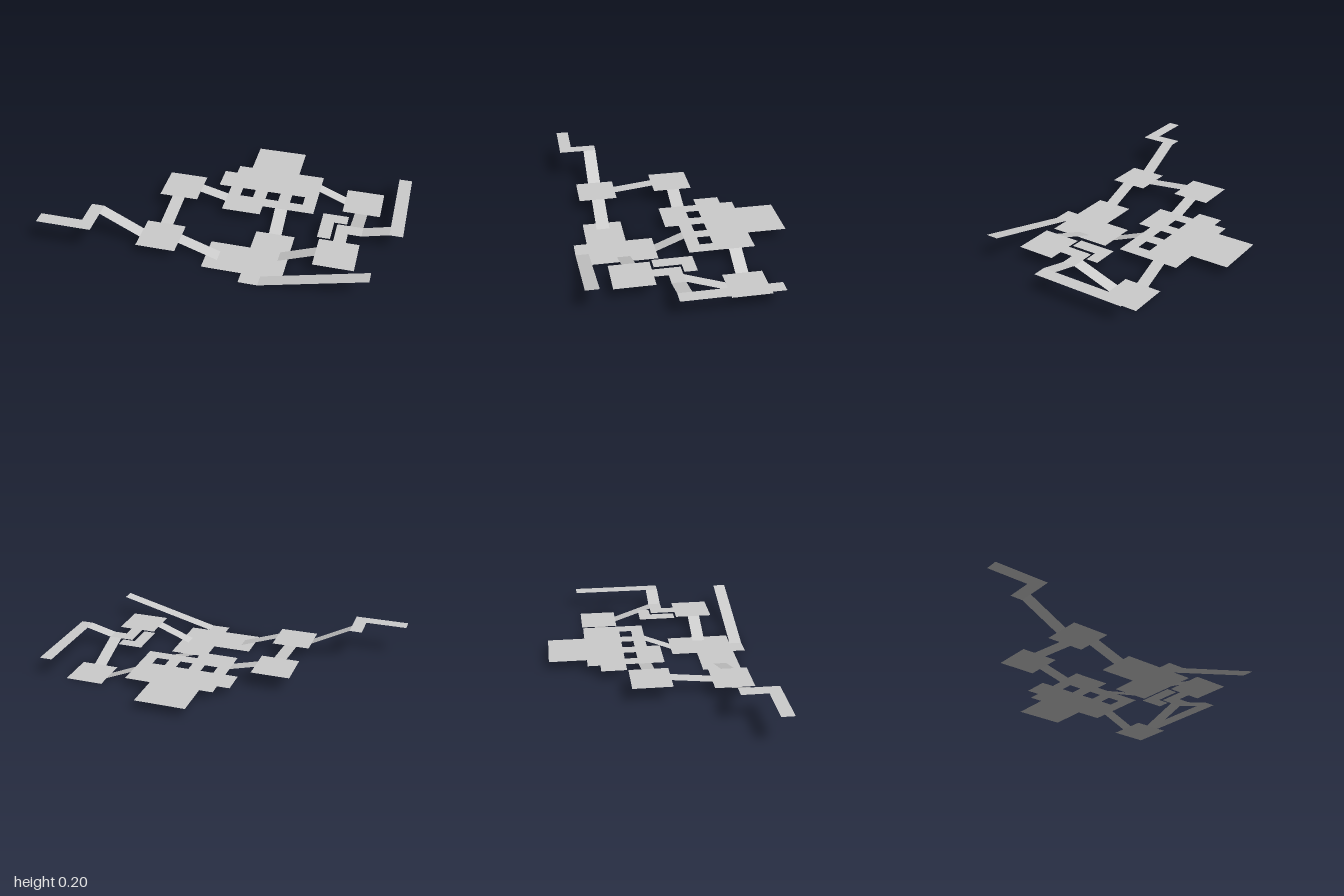
import * as THREE from 'three';

const material = new THREE.MeshStandardMaterial({ color: 0xcccccc, side: THREE.DoubleSide, flatShading: true });

const rect = (x0, x1, z0, z1) => [[x0, z0], [x1, z0], [x1, z1], [x0, z1]];
const toPoints = (outline) => outline.map(([x, z]) => new THREE.Vector2(x, -z));

export function createModel() {
  const group = new THREE.Group();

  const add = (name, geometry) => {
    const mesh = new THREE.Mesh(geometry, material);
    mesh.name = name;
    group.add(mesh);
  };

  // Level floor: an outline of [x, z] corners at height y, with optional holes
  const floor = (name, y, outline, holes = []) => {
    const shape = new THREE.Shape(toPoints(outline));
    holes.forEach((h) => shape.holes.push(new THREE.Path(toPoints(h))));
    add(name, new THREE.ShapeGeometry(shape).rotateX(-Math.PI / 2).translate(0, y, 0));
  };

  // Sloped floor: height runs from y0 to y1 along the chosen axis
  const ramp = (name, axis, [x0, x1, z0, z1], y0, y1) => {
    const geo = new THREE.PlaneGeometry(x1 - x0, z1 - z0).rotateX(-Math.PI / 2);
    geo.translate((x0 + x1) / 2, 0, (z0 + z1) / 2);
    const p = geo.attributes.position;
    for (let i = 0; i < p.count; i++) {
      const t = axis === 'x' ? (p.getX(i) - x0) / (x1 - x0) : (p.getZ(i) - z0) / (z1 - z0);
      p.setY(i, y0 + (y1 - y0) * t);
    }
    geo.computeVertexNormals();
    add(name, geo);
  };

  // Great hall with a row of openings between its pillars of floor
  floor('greatHall', 0.065, [
    [0.01, -0.61], [0.31, -0.61], [0.31, -0.385], [0.465, -0.385], [0.465, -0.01],
    [0.16, -0.01], [0.16, 0.07], [-0.07, 0.07], [-0.07, -0.16], [-0.145, -0.16],
    [-0.145, -0.31], [-0.07, -0.31], [-0.07, -0.385], [0.01, -0.385],
  ], [0.005, 0.16, 0.31].map((x) => rect(x, x + 0.078, -0.16, -0.085)));

  // Square rooms
  floor('backLeftRoom', 0, rect(0.62, 0.845, -0.385, -0.16));
  floor('backRightRoom', 0.105, rect(-0.45, -0.222, -0.16, 0.07));
  floor('frontRightRoom', 0.08, rect(-0.45, -0.222, 0.303, 0.53));

  // Entrance hall and the level start of the front walkway
  floor('entranceHall', 0, [
    [0.16, 0.15], [0.388, 0.15], [0.388, 0.53], [0.27, 0.53], [0.27, 0.605],
    [0.16, 0.605], [0.16, 0.53], [-0.07, 0.53], [-0.07, 0.303], [0.16, 0.303],
  ]);

  // Front left room with its passage up to the corridor corner
  floor('frontLeftRoom', 0.08, [
    [0.62, 0.07], [0.77, 0.07], [0.77, 0.148], [0.692, 0.148], [0.692, 0.226],
    [0.77, 0.226], [0.77, 0.453], [0.54, 0.453], [0.54, 0.226], [0.62, 0.226],
  ]);

  // Small detached ledge
  floor('ledge', 0.08, [
    [0.525, -0.013], [0.675, -0.013], [0.675, 0.06], [0.6, 0.06], [0.6, 0.213], [0.525, 0.213],
  ]);

  // Outer walkways
  floor('leftWalkway', 0.12, rect(0.924, 1, -0.405, 0.148));
  floor('rightWalkway', 0.2, [
    [-0.755, 0.378], [-0.68, 0.378], [-0.68, 0.605], [-1, 0.605], [-1, 0.53], [-0.755, 0.53],
  ]);

  // Ramps running left to right
  ramp('backLeftRamp', 'x', [0.465, 0.62, -0.308, -0.235], 0.065, 0);
  ramp('backRightRamp', 'x', [-0.222, -0.07, -0.085, -0.01], 0.105, 0.065);
  ramp('rightWalkwayRamp', 'x', [-0.68, -0.45, 0.378, 0.455], 0.2, 0.08);
  ramp('frontRightRamp', 'x', [-0.222, 0.003, 0.378, 0.455], 0.08, 0);
  ramp('frontLeftRamp', 'x', [0.335, 0.54, 0.303, 0.378], 0, 0.08);
  ramp('leftWalkwayRamp', 'x', [0.77, 0.924, 0.07, 0.148], 0.08, 0.12);
  ramp('frontWalkwayRamp', 'x', [0.27, 0.867, 0.53, 0.605], 0, 0.155);

  // Ramps running back to front
  ramp('hallRamp', 'z', [0.235, 0.31, -0.01, 0.15], 0.065, 0);
  ramp('rightRamp', 'z', [-0.373, -0.298, 0.07, 0.303], 0.105, 0.08);
  ramp('leftRamp', 'z', [0.695, 0.77, -0.16, 0.07], 0, 0.08);

  return group;
}
